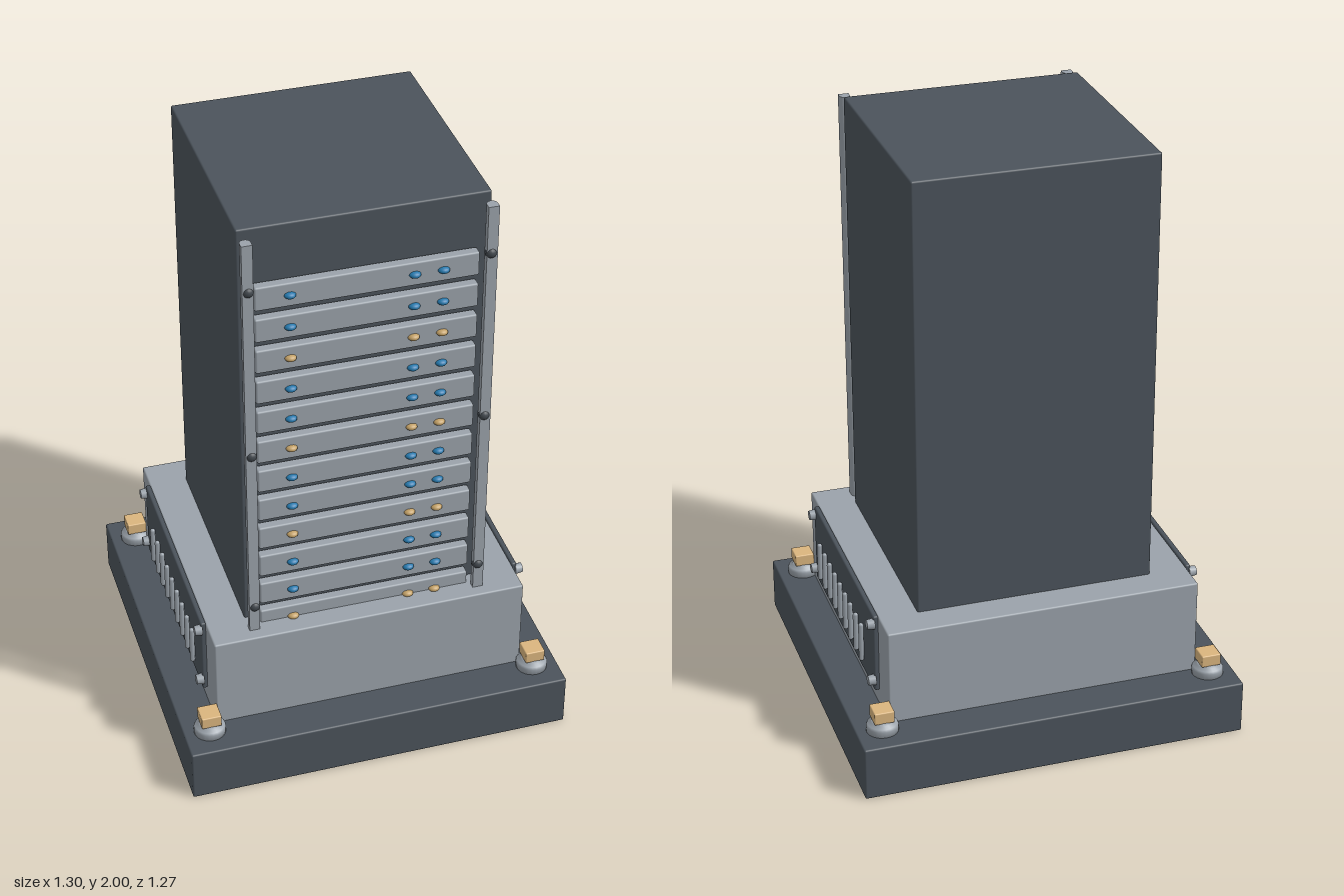
import * as THREE from 'three';
import { RoundedBoxGeometry } from 'three/addons/geometries/RoundedBoxGeometry.js';

const mat = (color) => new THREE.MeshStandardMaterial({ color });

export function createModel() {
  const root = new THREE.Group();
  root.name = 'serverRack';
  const dark = mat(0x4b535b), steel = mat(0x9aa2aa), bolt = mat(0x41474d);
  const brass = mat(0xdab57e), blue = mat(0x2579ad), amber = mat(0xc2a066);

  const add = (name, geometry, material, x, y, z, parent = root) => {
    const mesh = new THREE.Mesh(geometry, material);
    mesh.name = name;
    mesh.position.set(x, y, z);
    parent.add(mesh);
    return mesh;
  };
  const box = (w, h, d, r = 0.006) => new RoundedBoxGeometry(w, h, d, 2, r);

  // Base slab, plinth and cabinet
  add('base', box(1.3, 0.185, 1.27), dark, 0, 0.0925, 0);
  add('plinth', box(1.06, 0.345, 1), steel, 0, 0.3425, 0);
  add('cabinet', box(0.8, 1.5, 0.785), dark, 0, 1.25, -0.002);

  // Stacked server units with indicator lights; every third unit is amber
  const unitGeo = box(0.71, 0.083, 0.035);
  const lightGeo = new THREE.SphereGeometry(1, 16, 10);
  for (let i = 0; i < 12; i++) {
    const unit = new THREE.Group();
    unit.name = 'serverUnit';
    unit.position.set(0, 1.77 - i * 0.1137, 0.4105);
    root.add(unit);
    add('unitPanel', unitGeo, steel, 0, 0, 0, unit);
    for (const x of [-0.245, 0.148, 0.24]) {
      add('indicatorLight', lightGeo, i % 3 === 2 ? amber : blue, x, 0, 0.018, unit)
        .scale.set(0.019, 0.011, 0.017);
    }
  }

  // Front rails: flat towards the front, rounded behind
  const railShape = new THREE.Shape();
  railShape.moveTo(-0.0175, -0.019);
  railShape.lineTo(0.0175, -0.019);
  railShape.lineTo(0.0175, 0);
  railShape.absarc(0, 0, 0.0175, 0, Math.PI, false);
  railShape.closePath();
  const railGeo = new THREE.ExtrudeGeometry(railShape, { depth: 1.48, bevelEnabled: false, curveSegments: 12 });
  railGeo.rotateX(-Math.PI / 2);
  const railBoltGeo = new THREE.SphereGeometry(0.019, 16, 10);

  // Side vent panel parts
  const ventGeo = box(0.018, 0.28, 0.775);
  const slatGeo = new THREE.CapsuleGeometry(0.009, 0.125, 4, 10);
  const screwGeo = new THREE.CylinderGeometry(0.016, 0.019, 0.025, 16);
  screwGeo.rotateZ(-Math.PI / 2);

  // Anchor: domed washer under a square nut
  const washerGeo = new THREE.LatheGeometry([
    [0, 0.175], [0.053, 0.175], [0.053, 0.205], [0.049, 0.213], [0.037, 0.219], [0.035, 0.228], [0, 0.228],
  ].map(([r, y]) => new THREE.Vector2(r, y)), 24);
  const nutGeo = box(0.067, 0.042, 0.067, 0.004);

  for (const side of [-1, 1]) {
    add('rail', railGeo, steel, side * 0.383, 0.505, 0.44);
    for (const y of [0.61, 1.215, 1.82]) {
      add('railBolt', railBoltGeo, bolt, side * 0.381, y, 0.449);
    }

    const vent = new THREE.Group();
    vent.name = side > 0 ? 'leftVent' : 'rightVent';
    root.add(vent);
    add('ventPanel', ventGeo, dark, side * 0.538, 0.38, 0, vent);
    for (let i = 0; i < 9; i++) {
      add('ventSlat', slatGeo, steel, side * 0.556, 0.354, 0.29 - i * 0.0687, vent);
    }
    for (const y of [0.279, 0.491]) {
      for (const z of [-0.38, 0.38]) {
        add('ventScrew', screwGeo, steel, side * 0.555, y, z, vent).rotation.y = side > 0 ? 0 : Math.PI;
      }
    }

    for (const z of [-0.53, 0.53]) {
      add('anchorWasher', washerGeo, steel, side * 0.562, 0, z);
      add('anchorNut', nutGeo, brass, side * 0.562, 0.246, z);
    }
  }
  return root;
}
